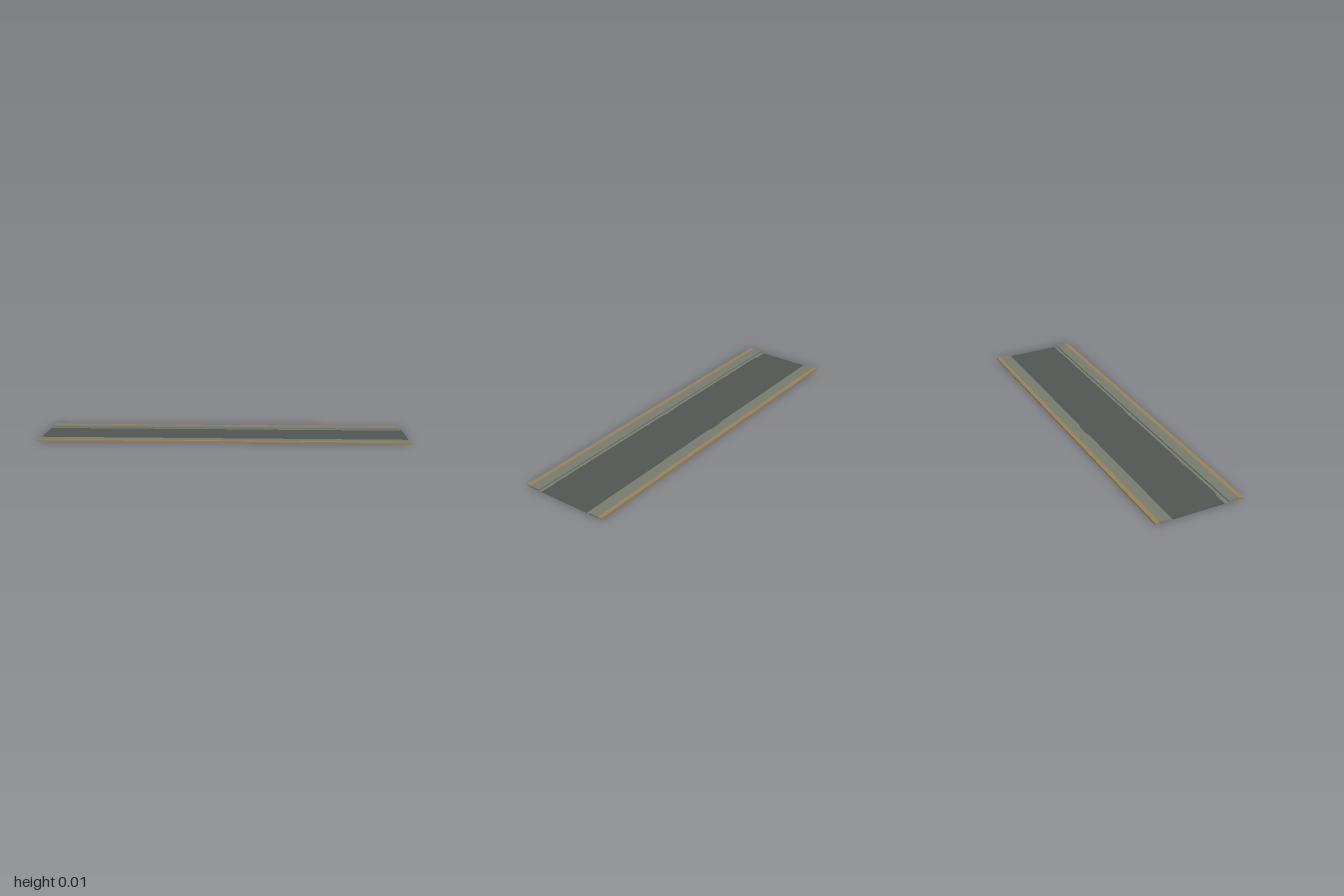
import * as THREE from 'three';

const flat = (name, color, side = THREE.FrontSide) => {
  const m = new THREE.MeshStandardMaterial({ color, side });
  m.name = name;
  return m;
};

export function createModel() {
  const group = new THREE.Group();
  const asphalt = flat('asphalt', 0x525653, THREE.DoubleSide);
  const gutterStone = flat('gutterStone', 0x777b6f, THREE.DoubleSide);
  const pavement = flat('pavement', 0x777b6f);
  const earth = flat('earth', 0x97815a);

  const add = (name, geometry, material, x = 0, y = 0, z = 0) => {
    const mesh = new THREE.Mesh(geometry, material);
    mesh.name = name;
    mesh.position.set(x, y, z);
    group.add(mesh);
  };

  // Flat sheet lying on the ground; shape points are (x, z)
  const sheet = (points) => {
    const shape = new THREE.Shape(points.map(([x, z]) => new THREE.Vector2(x, -z)));
    return new THREE.ShapeGeometry(shape).rotateX(-Math.PI / 2);
  };

  // Slightly worn borders between the asphalt and the gutters
  const backEdge = [[-1, -0.15], [-0.12, -0.15], [-0.08, -0.158], [-0.02, -0.158], [0.01, -0.15], [1, -0.15]];
  const frontEdge = [[-1, 0.141], [-0.93, 0.141], [-0.9, 0.15], [-0.63, 0.15], [-0.6, 0.146], [-0.56, 0.15],
    [-0.1, 0.15], [-0.06, 0.145], [0.01, 0.145], [0.04, 0.15], [0.63, 0.15], [0.9, 0.15], [0.93, 0.146], [1, 0.15]];

  add('roadSurface', sheet([...backEdge, ...[...frontEdge].reverse()]), asphalt, 0, 0.0004);

  for (const [side, s, edge] of [['back', -1, backEdge], ['front', 1, frontEdge]]) {
    add(side + 'Gutter', sheet([...edge, [1, s * 0.165], [-1, s * 0.165]]), gutterStone, 0, 0.0004);
    // Raised walkway with an earth-coloured outer border
    add(side + 'Sidewalk', new THREE.BoxGeometry(2, 0.009, 0.057), pavement, 0, 0.0045, s * 0.1935);
    add(side + 'Verge', new THREE.BoxGeometry(2, 0.009, 0.023), earth, 0, 0.0045, s * 0.2335);
  }
  return group;
}
